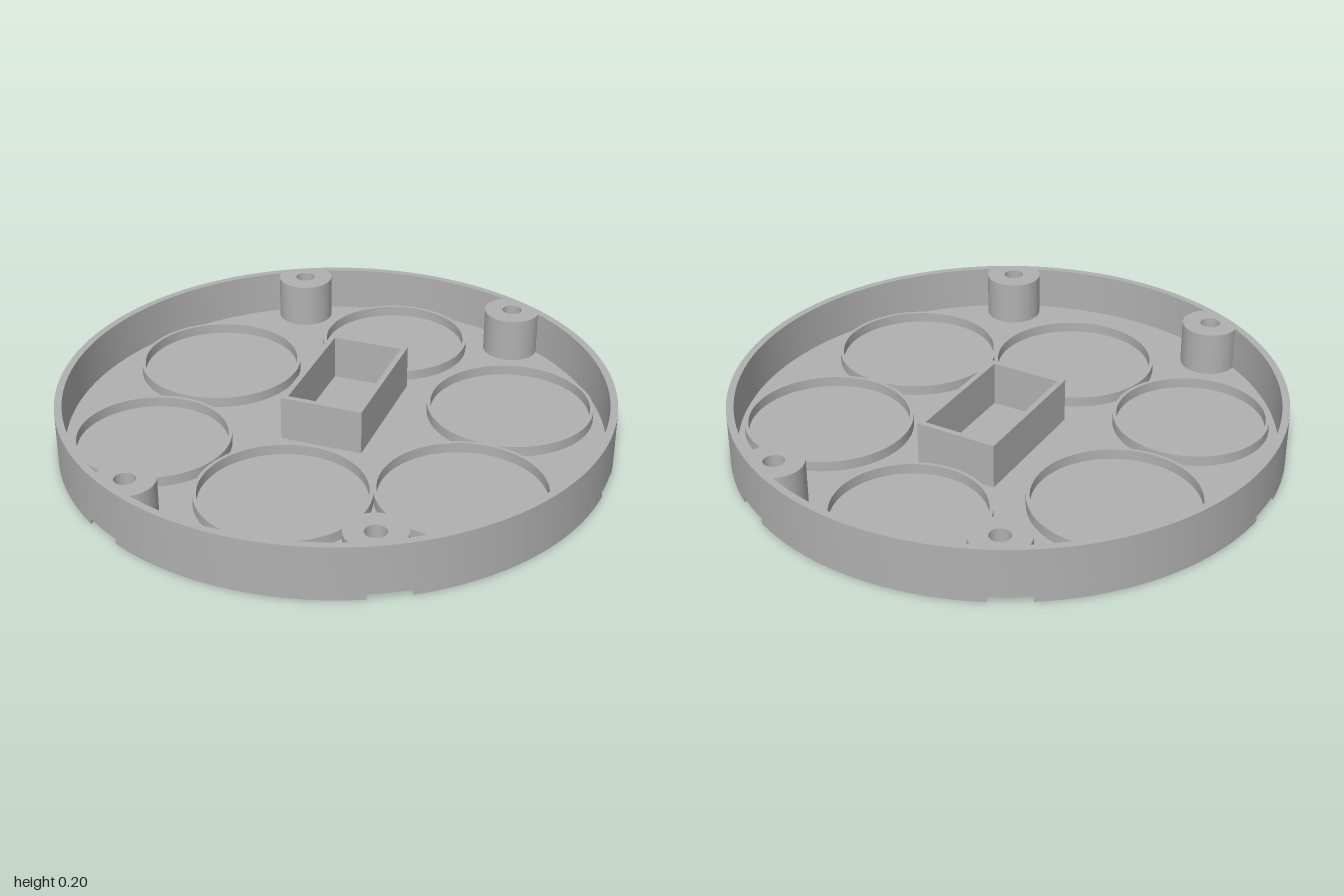
import * as THREE from 'three';
import { toCreasedNormals } from 'three/addons/utils/BufferGeometryUtils.js';

const grey = new THREE.MeshStandardMaterial({ color: 0xb0b0b0 });
grey.name = 'grey plastic';

const TAU = Math.PI * 2;
const RECESS_TOP = 0.02, FLOOR_TOP = 0.034, RIM_TOP = 0.2, RING_TOP = 0.072;

// Circle of radius R (anticlockwise) with round bites { angle, d, r } taken from its edge
function scallopedCircle(path, R, bites) {
  const halfAngle = b => Math.acos((b.d * b.d + R * R - b.r * b.r) / (2 * b.d * R));
  bites.forEach((b, i) => {
    const h = halfAngle(b);
    const phi = Math.atan2(R * Math.sin(h), R * Math.cos(h) - b.d);
    path.absarc(b.d * Math.cos(b.angle), b.d * Math.sin(b.angle), b.r, b.angle - phi, b.angle + phi, true);
    const last = i === bites.length - 1;
    const next = bites[last ? 0 : i + 1];
    path.absarc(0, 0, R, b.angle + h, next.angle + (last ? TAU : 0) - halfAngle(next), false);
  });
  return path;
}

function circle(path, x, y, r) {
  path.absarc(x, y, r, 0, TAU, false);
  return path;
}

function rectangle(path, x, y, hw, hh) {
  path.moveTo(x - hw, y - hh);
  path.lineTo(x + hw, y - hh);
  path.lineTo(x + hw, y + hh);
  path.lineTo(x - hw, y + hh);
  path.closePath();
  return path;
}

// Extrudes a plan (shape y is -z) from height y0 to y1
function slab(name, shape, y0, y1, curveSegments = 32) {
  let geometry = new THREE.ExtrudeGeometry(shape, { depth: y1 - y0, bevelEnabled: false, curveSegments });
  geometry.rotateX(-Math.PI / 2);
  geometry.translate(0, y0, 0);
  geometry = toCreasedNormals(geometry, 0.5);
  const mesh = new THREE.Mesh(geometry, grey);
  mesh.name = name;
  return mesh;
}

export function createModel() {
  const group = new THREE.Group();
  group.name = 'roundTray';

  // Screw positions, anticlockwise
  const a = Math.atan2(0.813, 0.433);
  const screws = [a, Math.PI - a, Math.PI + a, TAU - a].map(angle => ({ angle, d: 0.921, r: 0.105 }));
  const screwHoles = r => screws.map(s =>
    circle(new THREE.Path(), s.d * Math.cos(s.angle), s.d * Math.sin(s.angle), r));

  // Underside with six round recesses that break through the edge
  const recesses = [0, 1, 2, 3, 4, 5].map(i => ({ angle: i * TAU / 6, d: 0.918, r: 0.108 }));
  group.add(slab('underside', scallopedCircle(new THREE.Shape(), 1, recesses), 0, RECESS_TOP));

  // Floor with counterbores under the screw posts
  const floor = circle(new THREE.Shape(), 0, 0, 1);
  floor.holes.push(...screwHoles(0.068));
  group.add(slab('floor', floor, RECESS_TOP, FLOOR_TOP, 64));

  // Outer wall joined to the four drilled screw posts
  const wall = circle(new THREE.Shape(), 0, 0, 1);
  wall.holes.push(scallopedCircle(new THREE.Path(), 0.973, screws), ...screwHoles(0.037));
  group.add(slab('wallAndScrewPosts', wall, FLOOR_TOP, RIM_TOP, 64));

  // Low round holders: x, z, outer radius
  const holders = [
    [0, -0.668, 0.281], [0.565, -0.315, 0.305], [0.565, 0.292, 0.305],
    [0, 0.514, 0.305], [-0.569, 0.342, 0.283], [-0.569, -0.265, 0.305],
  ];
  for (const [x, z, r] of holders) {
    const ring = circle(new THREE.Shape(), x, -z, r);
    ring.holes.push(circle(new THREE.Path(), x, -z, r - 0.013));
    group.add(slab('holderRing', ring, FLOOR_TOP, RING_TOP));
  }

  // Tall rectangular compartment, open at the top
  const box = rectangle(new THREE.Shape(), -0.004, 0.115, 0.152, 0.259);
  box.holes.push(rectangle(new THREE.Path(), -0.004, 0.115, 0.131, 0.238));
  group.add(slab('compartment', box, FLOOR_TOP, RIM_TOP));

  return group;
}
